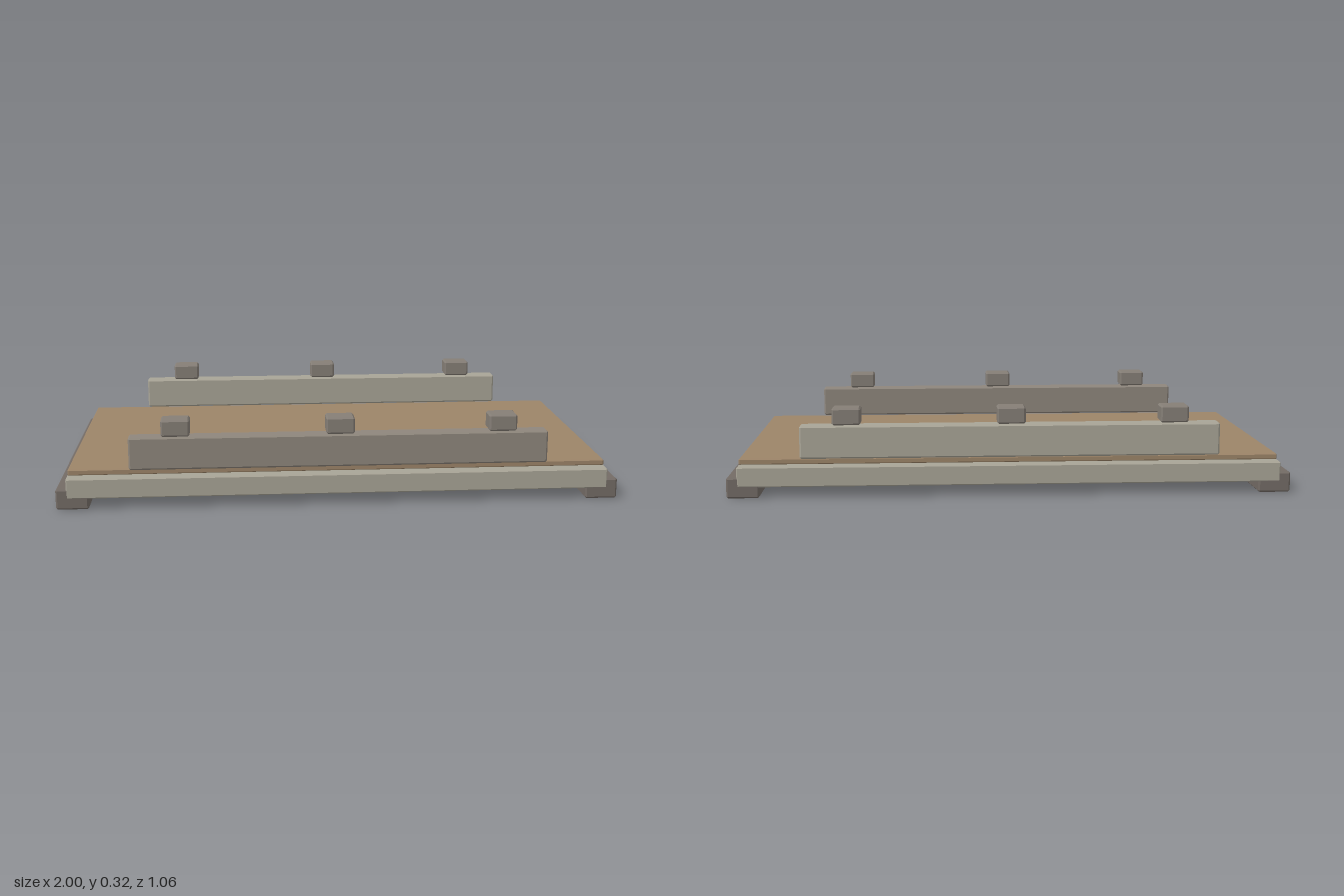
import * as THREE from 'three';
import { ConvexGeometry } from 'three/addons/geometries/ConvexGeometry.js';

const material = (color) => new THREE.MeshStandardMaterial({ color, flatShading: true });
const paleStone = material(0xa8a496);
const greyStone = material(0x8e867c);
const capStone = material(0x857e76);
const darkStone = material(0x736b65);
const planks = material(0x9c8468);

// Box with chamfered edges: three points near each corner, one per face
function chamferBox(w, h, d, c) {
  const points = [];
  for (const sx of [-1, 1]) for (const sy of [-1, 1]) for (const sz of [-1, 1]) {
    const x = w / 2, y = h / 2, z = d / 2;
    points.push(
      new THREE.Vector3(sx * x, sy * (y - c), sz * (z - c)),
      new THREE.Vector3(sx * (x - c), sy * y, sz * (z - c)),
      new THREE.Vector3(sx * (x - c), sy * (y - c), sz * z));
  }
  return new ConvexGeometry(points);
}

// Adds a block standing on height y0
function addBlock(group, name, mat, [w, h, d], [x, y0, z], chamfer = 0.006) {
  const mesh = new THREE.Mesh(chamferBox(w, h, d, chamfer), mat);
  mesh.name = name;
  mesh.position.set(x, y0 + h / 2, z);
  group.add(mesh);
}

export function createModel() {
  const model = new THREE.Group();
  model.name = 'bridgePlatform';

  // Base slab and the deck lying on it
  addBlock(model, 'baseSlab', paleStone, [1.926, 0.072, 1.056], [0, 0.039, 0], 0.004);
  addBlock(model, 'deck', planks, [1.922, 0.022, 0.96], [0, 0.11, 0], 0.004);

  // Footing beams under both ends
  for (const side of [-1, 1])
    addBlock(model, side > 0 ? 'leftFooting' : 'rightFooting', darkStone,
      [0.115, 0.074, 1.054], [side * 0.9425, 0, 0]);

  // Parapets along front and back, each with three cap blocks
  for (const side of [-1, 1]) {
    const parapet = new THREE.Group();
    parapet.name = side > 0 ? 'frontParapet' : 'backParapet';
    addBlock(parapet, 'rail', side > 0 ? greyStone : paleStone,
      [1.486, 0.117, 0.06], [0, 0.136, side * 0.487]);
    for (const x of [-0.578, 0, 0.578])
      addBlock(parapet, 'capBlock', capStone, [0.1, 0.06, 0.077], [x, 0.256, side * 0.487]);
    model.add(parapet);
  }
  return model;
}
